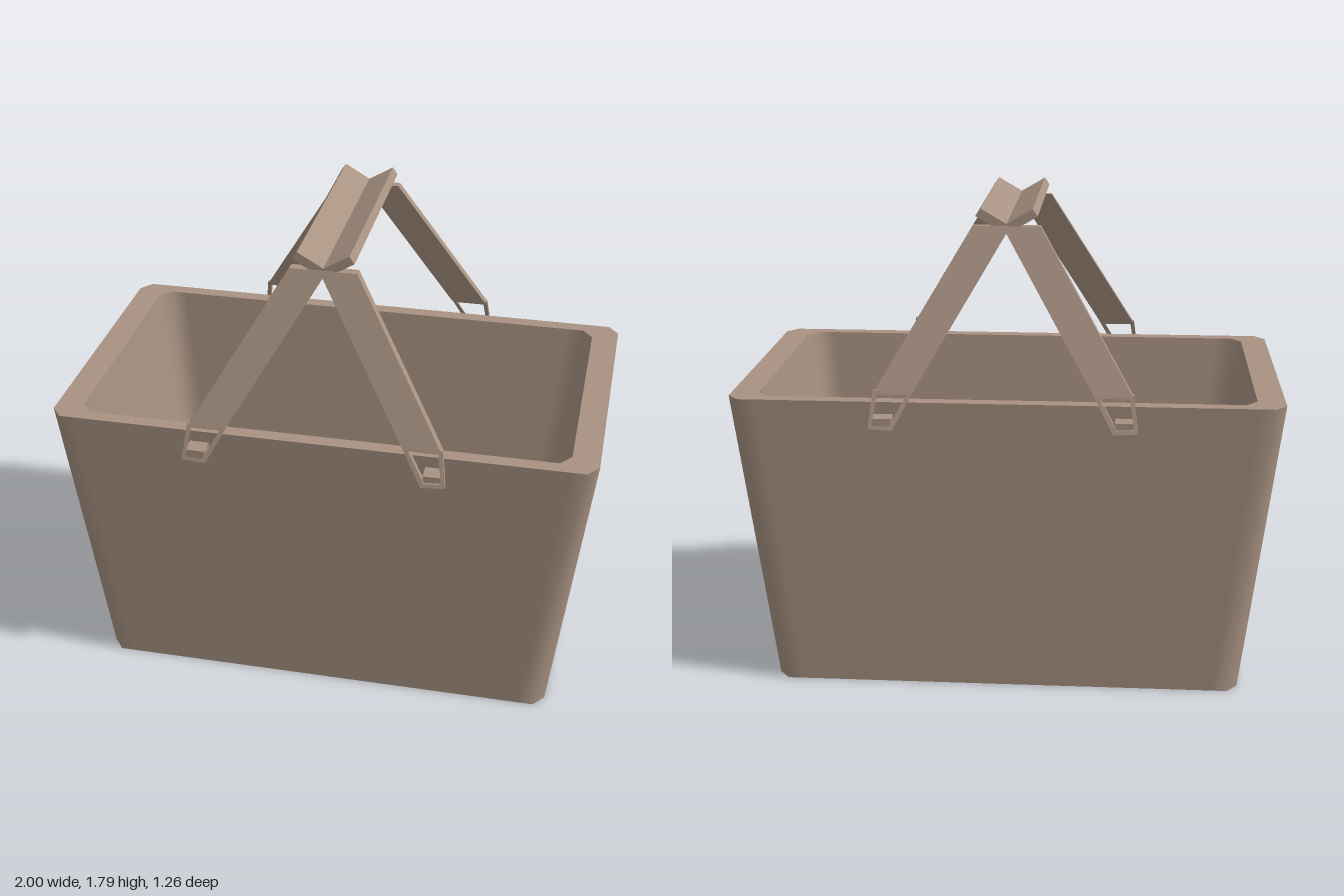
import * as THREE from 'three';

const wood = new THREE.MeshStandardMaterial({ color: 0xa89282 });
wood.name = 'wood';

function add(parent, name, geometry) {
  const mesh = new THREE.Mesh(geometry, wood);
  mesh.name = name;
  parent.add(mesh);
  return mesh;
}

// Rectangle with cut corners; extra points keep the flat sides flat shaded
function ring(hx, hz, y) {
  const corner = [
    [hx, hz - 0.11], [hx, hz - 0.05], [hx - 0.04, hz], [hx - 0.1, hz],
  ];
  const back = [...corner].reverse();
  return [
    ...corner.map(([x, z]) => [x, y, z]),
    ...back.map(([x, z]) => [-x, y, z]),
    ...corner.map(([x, z]) => [-x, y, -z]),
    ...back.map(([x, z]) => [x, y, -z]),
  ];
}

// Band between two rings, smooth around, sharp at both rims
function band(a, b) {
  const n = a.length, index = [];
  for (let i = 0; i < n; i++) {
    const j = (i + 1) % n;
    index.push(i, n + i, j, j, n + i, n + j);
  }
  const g = new THREE.BufferGeometry();
  g.setAttribute('position', new THREE.Float32BufferAttribute([...a, ...b].flat(), 3));
  g.setIndex(index);
  g.computeVertexNormals();
  return g;
}

const polygon = (pts) => pts.map(([x, y]) => new THREE.Vector2(x, y));

// Flat plate in x-y, leaning inwards: z = z0 at y0, less by slope above it
function leaningPlate(outline, hole, depth, z0, y0, slope) {
  const shape = new THREE.Shape(polygon(outline));
  if (hole) shape.holes.push(new THREE.Path(polygon(hole)));
  const g = new THREE.ExtrudeGeometry(shape, { depth, bevelEnabled: false });
  const p = g.attributes.position;
  for (let i = 0; i < p.count; i++) {
    p.setZ(i, p.getZ(i) - depth / 2 + z0 - (p.getY(i) - y0) * slope);
  }
  g.computeVertexNormals();
  return g;
}

export function createModel() {
  const model = new THREE.Group();
  model.name = 'basket';

  // Tapered tub: from the middle of the base, out, up, over the rim and down inside
  const tub = new THREE.Group();
  tub.name = 'tub';
  model.add(tub);
  const centre = (y) => ring(1, 1, y).map(() => [0, y, 0]);
  const rings = [
    centre(0), ring(0.87, 0.485, 0), ring(1, 0.558, 1.12),
    ring(0.9, 0.505, 1.12), ring(0.785, 0.443, 0.13), centre(0.13),
  ];
  ['base', 'outerWall', 'rim', 'innerWall', 'floor'].forEach((name, i) => {
    add(tub, name, band(rings[i], rings[i + 1]));
  });

  // V-shaped grip across the top
  const grip = new THREE.Shape(polygon([
    [0, 1.7], [0.11, 1.765], [0.092, 1.792], [0, 1.738], [-0.092, 1.792], [-0.11, 1.765],
  ]));
  const gripGeometry = new THREE.ExtrudeGeometry(grip, { depth: 0.82, bevelEnabled: false });
  add(model, 'grip', gripGeometry.translate(0, 0, -0.41));

  // Two arms with hinge loops and pegs at the front and again at the back
  for (const turn of [0, Math.PI]) {
    const side = new THREE.Group();
    side.name = turn ? 'backHandle' : 'frontHandle';
    side.rotation.y = turn;
    model.add(side);
    for (const s of [1, -1]) {
      const flip = (pts) => pts.map(([x, y]) => [x * s, y]);
      add(side, 'arm', leaningPlate(
        flip([[0.455, 1.17], [0.318, 1.17], [0, 1.705], [0, 1.73], [0.12, 1.73]]),
        null, 0.035, 0.582, 1.17, 0.335));
      add(side, 'hingeLoop', leaningPlate(
        flip([[0.46, 1.172], [0.315, 1.172], [0.39, 1.035], [0.477, 1.04]]),
        flip([[0.446, 1.158], [0.34, 1.158], [0.402, 1.05], [0.462, 1.053]]),
        0.02, 0.584, 1.17, 0.27));
      const peg = add(side, 'peg', new THREE.BoxGeometry(0.07, 0.034, 0.09));
      peg.position.set(0.431 * s, 1.058, 0.573);
    }
  }
  return model;
}
